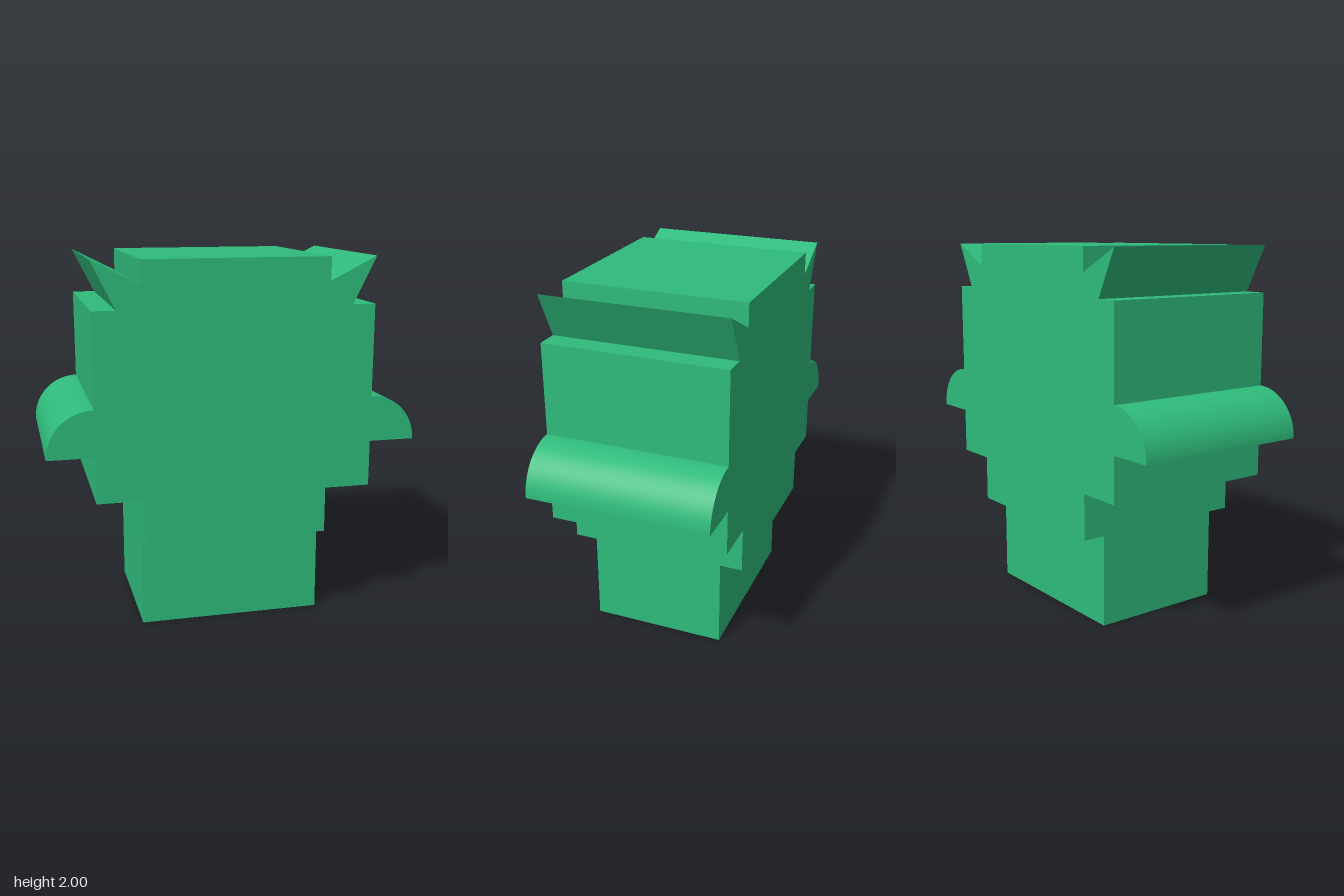
import * as THREE from 'three';
import { toCreasedNormals } from 'three/addons/utils/BufferGeometryUtils.js';

export function createModel() {
  const model = new THREE.Group();
  model.name = 'blockHead';
  const green = new THREE.MeshStandardMaterial({ color: 0x2fbb7b });
  green.name = 'green';

  // Head outline: chin, jaw, rounded ears, horn spikes and flat crown
  const outline = new THREE.Shape();
  outline.moveTo(-0.5, 0.5);
  const lower = [[0.5, 0.5], [0.5, 0.75], [0.75, 0.75], [0.75, 1], [1, 1]];
  const upper = [[0.75, 1.75], [0.625, 1.75], [0.75, 2], [0.5, 1.875], [0.5, 2]];
  lower.forEach(([x, y]) => outline.lineTo(x, y));
  outline.absarc(0.75, 1, 0.25, 0, Math.PI / 2, false);
  upper.forEach(([x, y]) => outline.lineTo(x, y));
  [...upper].reverse().forEach(([x, y]) => outline.lineTo(-x, y));
  outline.lineTo(-0.75, 1.25);
  outline.absarc(-0.75, 1, 0.25, Math.PI / 2, Math.PI, false);
  [[-0.75, 1], [-0.75, 0.75], [-0.5, 0.75]].forEach(([x, y]) => outline.lineTo(x, y));
  outline.closePath();

  const headGeometry = new THREE.ExtrudeGeometry(outline, {
    depth: 1, bevelEnabled: false, curveSegments: 24,
  });
  headGeometry.translate(0, 0, -0.5);
  const head = new THREE.Mesh(toCreasedNormals(headGeometry, Math.PI / 6), green);
  head.name = 'head';
  model.add(head);

  // Neck block, narrower in depth than the head
  const neck = new THREE.Mesh(new THREE.BoxGeometry(1, 0.5, 0.75), green);
  neck.name = 'neck';
  neck.position.y = 0.25;
  model.add(neck);

  return model;
}
